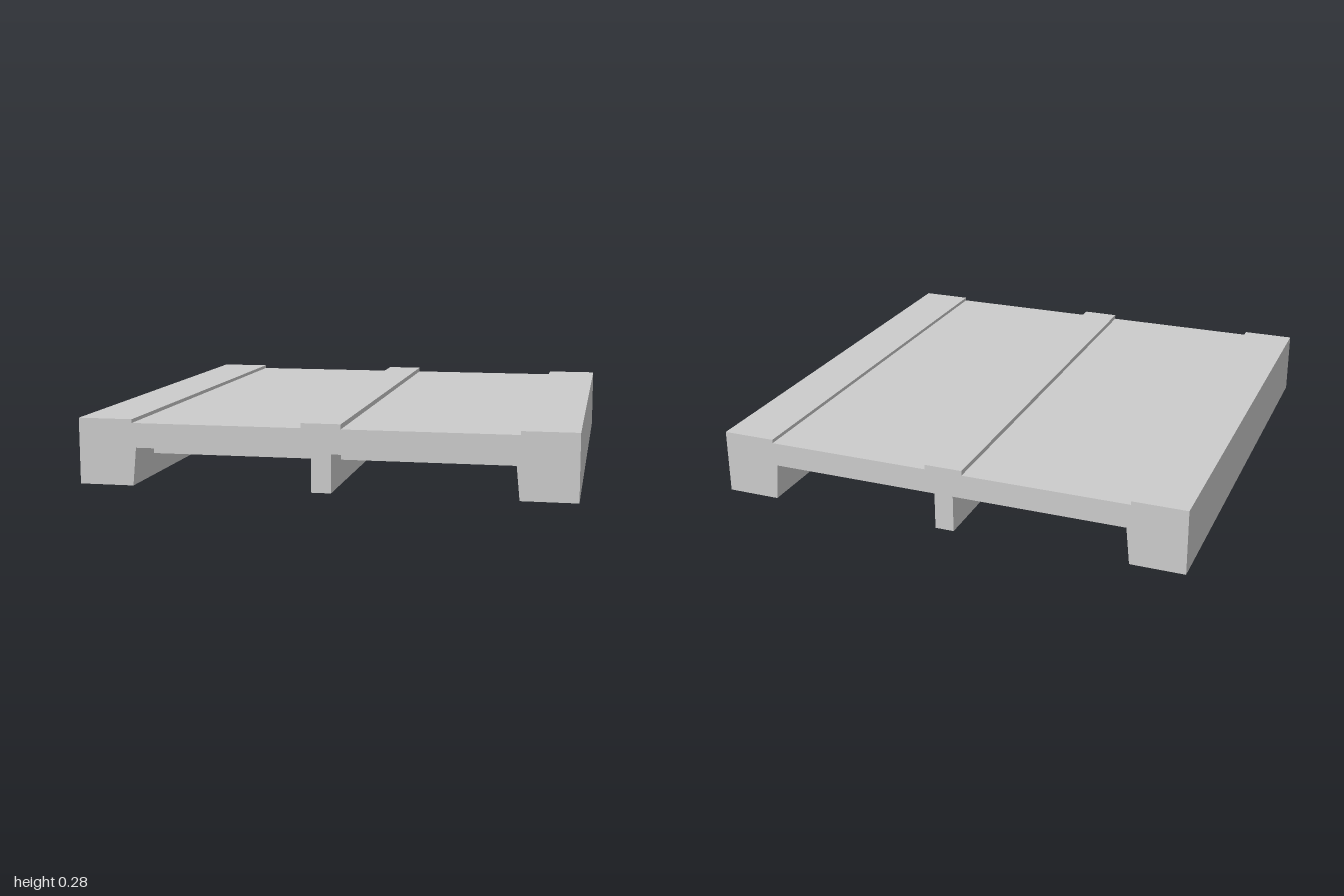
import * as THREE from 'three';

const material = new THREE.MeshStandardMaterial({ color: 0xcccccc });

export function createModel() {
  const slab = new THREE.Group();
  slab.name = 'ribbedSlab';

  // Right half of the section: raised edge, side leg, recessed underside, centre beam
  const half = [
    [0.08, 0.275], [0.08, 0.255], [0.775, 0.255], [0.775, 0.27], [1, 0.27],
    [1, 0], [0.775, 0], [0.76, 0.155], [0.04, 0.155], [0.04, 0],
  ];
  const mirrored = half.map(([x, y]) => [-x, y]).reverse();
  const outline = [...half, ...mirrored].map(([x, y]) => new THREE.Vector2(x, y));

  const bodyGeometry = new THREE.ExtrudeGeometry(new THREE.Shape(outline), {
    depth: 2, bevelEnabled: false,
  });
  bodyGeometry.translate(0, 0, -1);
  const body = new THREE.Mesh(bodyGeometry, material);
  body.name = 'deckAndLegs';
  slab.add(body);

  // Cross ribs under the deck, on both sides of the centre beam
  const ribCount = 7, spacing = 0.25;
  const ribGeometry = new THREE.BoxGeometry(0.715, 0.057, 0.12);
  for (const side of [-1, 1]) {
    const ribs = new THREE.Group();
    ribs.name = side > 0 ? 'leftRibs' : 'rightRibs';
    for (let i = 0; i < ribCount; i++) {
      const rib = new THREE.Mesh(ribGeometry, material);
      rib.name = 'rib';
      rib.position.set(side * 0.3975, 0.1285, (i - (ribCount - 1) / 2) * spacing);
      ribs.add(rib);
    }
    slab.add(ribs);
  }
  return slab;
}
